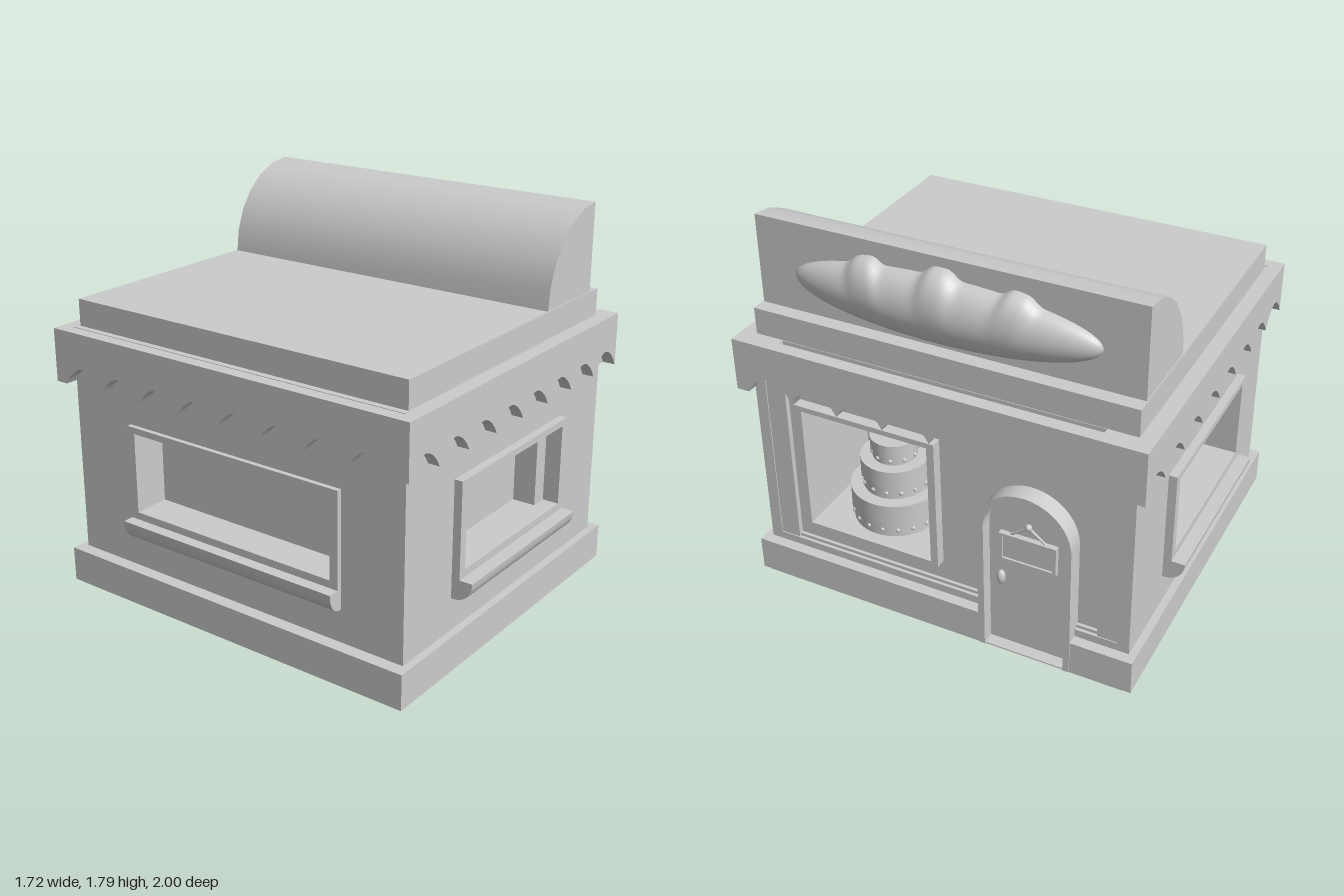
import * as THREE from 'three';
import { toCreasedNormals } from 'three/addons/utils/BufferGeometryUtils.js';

const mat = new THREE.MeshStandardMaterial({ color: 0xcccccc });

function add(parent, name, geo, x = 0, y = 0, z = 0) {
  const m = new THREE.Mesh(geo, mat);
  m.name = name;
  m.position.set(x, y, z);
  parent.add(m);
  return m;
}

// Box given by its limits
function block(parent, name, x0, x1, y0, y1, z0, z1) {
  return add(parent, name, new THREE.BoxGeometry(x1 - x0, y1 - y0, z1 - z0),
    (x0 + x1) / 2, (y0 + y1) / 2, (z0 + z1) / 2);
}

function extrude(shape, depth, curveSegments = 10) {
  const g = new THREE.ExtrudeGeometry(shape, { depth, bevelEnabled: false, curveSegments });
  return toCreasedNormals(g, 0.6);
}

function trace(path, points) {
  points.forEach(([x, y], i) => (i ? path.lineTo(x, y) : path.moveTo(x, y)));
  path.closePath();
  return path;
}

const rect = (path, x0, x1, y0, y1) => trace(path, [[x0, y0], [x1, y0], [x1, y1], [x0, y1]]);

// Rectangle with a rectangular opening; limits are [x0, x1, y0, y1]
function pierced(outer, hole, depth) {
  const s = rect(new THREE.Shape(), ...outer);
  s.holes.push(rect(new THREE.Path(), ...hole));
  return extrude(s, depth);
}

function arch(path, r, top) {
  path.moveTo(-r, 0);
  path.lineTo(r, 0);
  path.lineTo(r, top - r);
  path.absarc(0, top - r, r, 0, Math.PI, false);
  path.closePath();
  return path;
}

// Strip whose lower edge is a row of arches
function valance(width, count, depth) {
  const s = new THREE.Shape(), step = width / count, h = width / 2;
  s.moveTo(-h, 1.25);
  s.lineTo(-h, 1.0);
  for (let i = 0; i < count; i++) {
    for (let k = 1; k <= 12; k++) {
      const t = k / 12;
      s.lineTo(-h + (i + t) * step, 1.0 + 0.088 * Math.pow(Math.sin(Math.PI * t), 0.8));
    }
  }
  s.lineTo(h, 1.25);
  s.closePath();
  return extrude(s, depth);
}

// Wall with a framed, recessed window and rounded sill, facing local +z
function windowWall(parent, half, plane, cx, w, frameOut, sillOut) {
  const x0 = cx - w / 2, x1 = cx + w / 2, hole = [x0 + 0.04, x1 - 0.04, 0.45, 0.83];
  add(parent, 'wall', pierced([-half[0], half[1], 0.01, 1.25], hole, 0.15), 0, 0, plane - 0.15);
  add(parent, 'windowFrame', pierced([x0, x1, 0.415, 0.86], hole, frameOut), 0, 0, plane);
  const s = new THREE.Shape();
  s.moveTo(-0.01, 0.415);
  s.lineTo(-0.01, 0.32);
  s.lineTo(sillOut * 0.15, 0.32);
  s.quadraticCurveTo(sillOut * 0.95, 0.33, sillOut, 0.415);
  s.closePath();
  add(parent, 'windowSill', extrude(s, w).rotateY(-Math.PI / 2), x1, 0, plane);
}

function facing(parent, name, angle) {
  const g = new THREE.Group();
  g.name = name;
  g.rotation.y = angle;
  parent.add(g);
  return g;
}

function createCake() {
  const cake = new THREE.Group();
  cake.name = 'cake';
  for (const [r, y0, y1, n] of [[0.2, 0.34, 0.51, 18], [0.15, 0.51, 0.66, 14], [0.102, 0.66, 0.765, 10]]) {
    const h = y1 - y0, icingH = h * 0.5;
    add(cake, 'cakeTier', new THREE.CylinderGeometry(r, r, h - 0.004, 40), 0, (y0 + y1) / 2 - 0.002, 0);
    // Icing with a dripping lower edge
    const g = new THREE.CylinderGeometry(r + 0.008, r + 0.008, icingH, 72);
    const p = g.attributes.position;
    for (let i = 0; i < p.count; i++) {
      if (p.getY(i) > 0) continue;
      const a = Math.atan2(p.getZ(i), p.getX(i));
      p.setY(i, p.getY(i) + h * (0.12 * Math.sin(a * 7) + 0.07 * Math.sin(a * 4 + 1)));
    }
    add(cake, 'icing', toCreasedNormals(g, 0.7), 0, y1 - icingH / 2, 0);
    for (let i = 0; i < n; i++) {
      const a = (i / n) * Math.PI * 2;
      add(cake, 'pearl', new THREE.SphereGeometry(0.01, 10, 8),
        Math.cos(a) * r, y0 + h * 0.2, Math.sin(a) * r);
    }
  }
  return cake;
}

// Half loaf with three raised ridges fading towards the bottom
function loafGeometry() {
  const g = new THREE.SphereGeometry(1, 72, 120).rotateX(Math.PI / 2);
  const p = g.attributes.position;
  for (let i = 0; i < p.count; i++) {
    const x = p.getX(i), y = p.getY(i), z = p.getZ(i) * 0.695;
    const up = THREE.MathUtils.smoothstep(y, -0.3, 0.7);
    let lift = 0;
    for (const c of [-0.36, 0, 0.355]) {
      const d = (z - c + (c ? Math.sign(c) * 0.05 * (1 - y) : 0)) / 0.068;
      lift += Math.exp(-Math.pow(d, 4)) * up;
    }
    p.setXYZ(i, Math.max(x, -0.1) * (0.112 + 0.012 * lift), y * (0.147 + 0.042 * lift), z);
  }
  g.computeVertexNormals();
  return g;
}

export function createModel() {
  const shop = new THREE.Group();
  shop.name = 'bakery';

  // Plinth, notched at the doorway
  const plinth = trace(new THREE.Shape(), [[-0.85, -0.935], [0.85, -0.935], [0.85, -0.215],
    [0.79, -0.215], [0.79, -0.0], [0.79, 0.215], [0.79, 0.65], [0.85, 0.65], [0.85, 0.935], [-0.85, 0.935]]
    .map(([x, y], i) => (i > 1 && i < 8 ? [x, [0.215, 0.215, 0.3, 0.4, 0.65, 0.65][i - 2]] : [x, y])));
  add(shop, 'plinth', extrude(plinth, 0.165).rotateX(-Math.PI / 2), 0, 0.002, 0);
  block(shop, 'floorPlate', -0.81, 0.85, 0, 0.008, -0.9, 0.9);

  // Walls with windows on three sides
  windowWall(facing(shop, 'leftSide', 0), [0.79, 0.795], 0.9, 0, 0.88, 0.038, 0.1);
  windowWall(facing(shop, 'rightSide', Math.PI), [0.795, 0.79], 0.9, 0, 0.88, 0.038, 0.1);
  windowWall(facing(shop, 'rearSide', -Math.PI / 2), [0.75, 0.75], 0.79, 0.01, 1.16, 0.022, 0.075);
  block(shop, 'core', -0.64, 0.32, 0.01, 1.25, -0.75, 0.75);

  // Shop front; local x runs towards -z
  const front = facing(shop, 'shopFront', Math.PI / 2);
  const opening = [-0.655, -0.035, 0.34, 0.945];
  add(front, 'frontWall', pierced([-0.86, 0.86, 0.01, 1.25], opening, 0.45), 0, 0, 0.32);
  add(front, 'displayFrame', pierced([-0.69, 0, 0.32, 0.97], opening, 0.05), 0, 0, 0.77);
  for (const s of [-1, 1]) {
    block(front, 'cornerPost', s * 0.8725 - 0.0275, s * 0.8725 + 0.0275, 0.16, 1.24, 0.74, 0.8);
  }
  for (const [a, b] of [[-0.85, 0.215], [0.65, 0.85]]) {
    block(front, 'skirting', a, b, 0.16, 0.205, 0.76, 0.8);
    block(front, 'skirtingTrim', a, b, 0.205, 0.22, 0.76, 0.785);
  }
  const cake = createCake();
  cake.position.set(-0.352, 0, 0.56);
  front.add(cake);

  // Door with arched frame, knob and hanging board
  const door = new THREE.Group();
  door.name = 'door';
  door.position.set(0.432, 0, 0);
  front.add(door);
  const surround = arch(new THREE.Shape(), 0.218, 0.862);
  surround.holes.push(arch(new THREE.Path(), 0.188, 0.838));
  add(door, 'doorFrame', extrude(surround, 0.085, 20), 0, 0.002, 0.77);
  add(door, 'doorPanel', extrude(arch(new THREE.Shape(), 0.19, 0.84), 0.05, 20), 0, 0.002, 0.745);
  add(door, 'doorKnob', new THREE.SphereGeometry(1, 20, 14), -0.127, 0.375, 0.81).scale.set(0.02, 0.036, 0.02);
  block(door, 'hangingBoard', -0.13, 0.13, 0.48, 0.615, 0.79, 0.81);
  add(door, 'boardRim', pierced([-0.133, 0.133, 0.475, 0.62], [-0.117, 0.117, 0.491, 0.604], 0.03), 0, 0, 0.79);
  add(door, 'boardPeg', new THREE.SphereGeometry(0.016, 14, 10), 0, 0.68, 0.805);
  for (const s of [-1, 1]) {
    const cord = new THREE.LineCurve3(new THREE.Vector3(0, 0.68, 0.805), new THREE.Vector3(s * 0.085, 0.615, 0.805));
    add(door, 'boardCord', new THREE.TubeGeometry(cord, 1, 0.006, 8));
  }

  // Scalloped awning on all four sides
  for (let i = 0; i < 4; i++) {
    const side = facing(shop, 'awning', (i * Math.PI) / 2);
    add(side, 'valance', valance(i % 2 ? 1.79 : 1.71, 8, 0.06), 0, 0, i % 2 ? 0.795 : 0.895);
  }

  // Roof and rounded sign block
  block(shop, 'roofSlab', -0.76, 0.767, 1.24, 1.375, -0.885, 0.885);
  const sign = new THREE.Shape();
  sign.moveTo(0.7, 1.37);
  sign.lineTo(0.7, 1.787);
  for (let i = 1; i <= 6; i++) {
    const a = (i / 6) * Math.PI / 2;
    sign.lineTo(0.7 - 0.388 * Math.sin(a), 1.37 + 0.417 * Math.cos(a));
  }
  sign.closePath();
  add(shop, 'signBlock', extrude(sign, 1.76), 0, 0, -0.88);
  add(shop, 'breadLoaf', loafGeometry(), 0.7, 1.555, 0);
  return shop;
}
